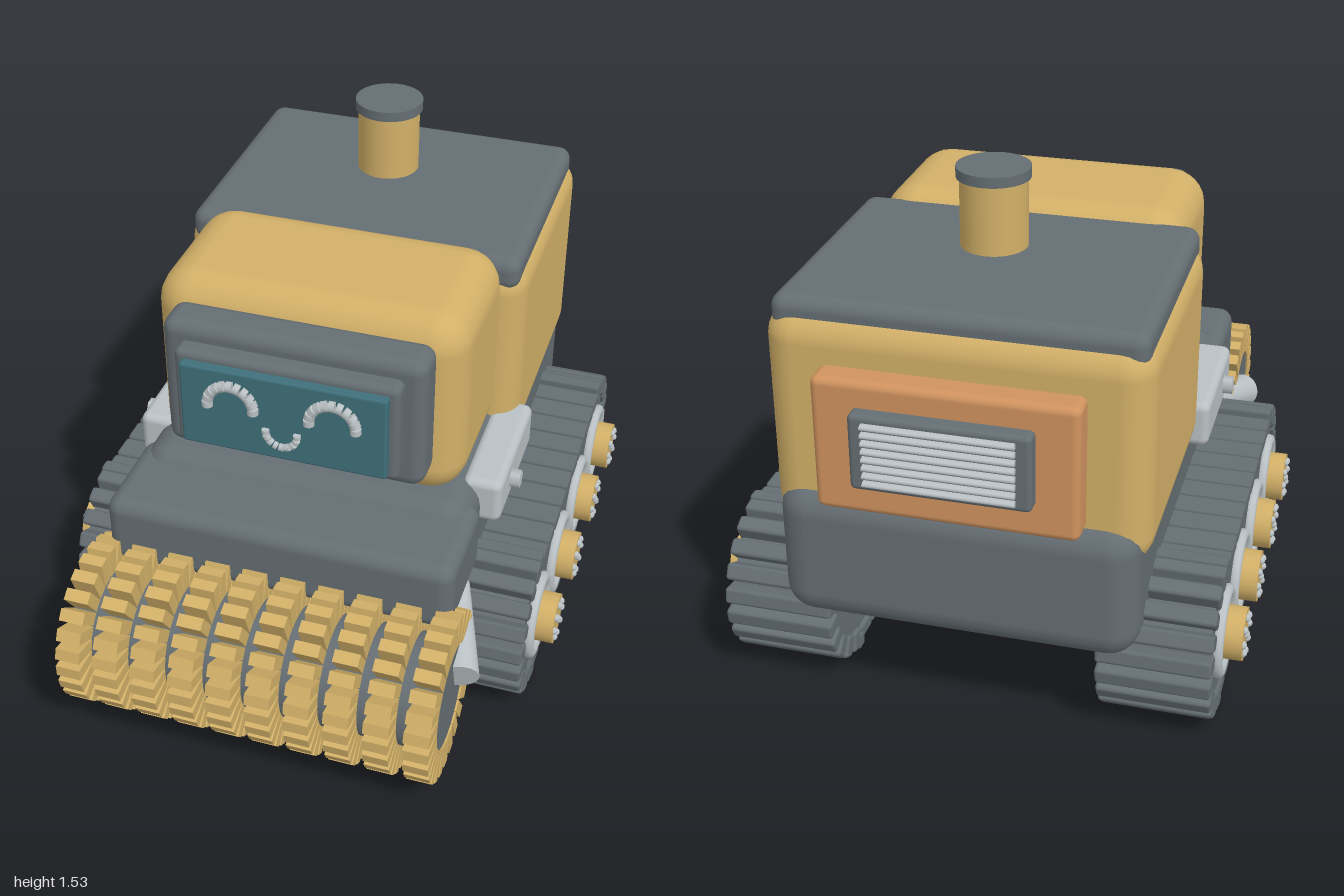
import * as THREE from 'three';
import { mergeGeometries } from 'three/addons/utils/BufferGeometryUtils.js';
import { RoundedBoxGeometry } from 'three/addons/geometries/RoundedBoxGeometry.js';

export function createModel() {
  const root = new THREE.Group();
  root.name = 'trackedRollerVehicle';

  const mat = (name, color) => {
    const m = new THREE.MeshStandardMaterial({ color });
    m.name = name;
    return m;
  };
  const gold = mat('gold paint', 0xd2b068);
  const dark = mat('dark grey', 0x656e73);
  const teal = mat('teal screen', 0x3f6f7a);
  const orange = mat('orange panel', 0xd0935f);
  const light = mat('light grey', 0xbac1c4);

  const add = (name, geometry, material, parent = root) => {
    const m = new THREE.Mesh(geometry, material);
    m.name = name;
    parent.add(m);
    return m;
  };

  // Rounded box given by its limits on each axis
  const block = (name, [x0, x1], [y0, y1], [z0, z1], r, material, parent = root, seg = 3) => {
    const g = new RoundedBoxGeometry(x1 - x0, y1 - y0, z1 - z0, seg, r);
    g.translate((x0 + x1) / 2, (y0 + y1) / 2, (z0 + z1) / 2);
    return add(name, g, material, parent);
  };

  // Cylinder lying along x from x0 to x1
  const axle = (r, x0, x1, y, z, sides = 28) =>
    new THREE.CylinderGeometry(r, r, x1 - x0, sides)
      .rotateZ(-Math.PI / 2)
      .translate((x0 + x1) / 2, y, z);

  // Chassis and nose
  block('chassis', [-0.51, 0.51], [0.3, 0.72], [-0.9, 0.47], 0.09, dark);
  block('noseHood', [-0.525, 0.525], [0.46, 0.685], [0.33, 0.67], 0.045, dark);

  // Cabin, roof and head
  block('rearCabin', [-0.53, 0.53], [0.57, 1.23], [-0.86, -0.04], 0.09, gold);
  block('roof', [-0.51, 0.51], [1.155, 1.262], [-0.83, -0.05], 0.04, dark);
  block('head', [-0.463, 0.463], [0.69, 1.295], [-0.12, 0.39], 0.11, gold);

  // Face display
  block('screenFrame', [-0.385, 0.385], [0.812, 1.235], [0.36, 0.495], 0.04, dark);
  block('screenInnerFrame', [-0.327, 0.327], [0.868, 1.182], [0.47, 0.547], 0.022, dark);
  block('screen', [-0.3, 0.3], [0.892, 1.158], [0.53, 0.574], 0.008, teal);

  // Beaded arcs for the eyes and mouth
  const beadArc = (name, cx, cy, r, a0, a1, count, size) => {
    const beads = [];
    for (let i = 0; i < count; i++) {
      const a = a0 + ((a1 - a0) * i) / (count - 1);
      beads.push(new THREE.CylinderGeometry(size, size, size * 1.1, 12)
        .rotateZ(a)
        .translate(cx + r * Math.cos(a), cy + r * Math.sin(a), 0.581));
    }
    add(name, mergeGeometries(beads), light);
  };
  for (const s of [-1, 1]) {
    beadArc(s > 0 ? 'leftEye' : 'rightEye', s * 0.148, 1.048, 0.067, 0, Math.PI, 11, 0.016);
  }
  beadArc('mouth', 0, 0.988, 0.046, Math.PI, Math.PI * 2, 9, 0.011);

  // Chimney
  add('chimney', new THREE.CylinderGeometry(0.094, 0.094, 0.2, 36).translate(0, 1.405, -0.44), gold);
  add('chimneyCap', new THREE.CylinderGeometry(0.103, 0.103, 0.03, 36).translate(0, 1.517, -0.44), dark);

  // Rear panel with louvred grille
  block('rearPanel', [-0.362, 0.362], [0.702, 1.095], [-0.937, -0.82], 0.022, orange);
  block('grille', [-0.246, 0.246], [0.8, 1.022], [-0.98, -0.92], 0.015, dark);
  const bars = [];
  for (let i = 0; i < 8; i++) {
    bars.push(new THREE.CylinderGeometry(0.008, 0.008, 0.41, 10)
      .scale(1, 1, 2.2)
      .rotateZ(Math.PI / 2)
      .translate(0, 0.828 + i * 0.024, -0.982));
  }
  add('grilleBars', mergeGeometries(bars), light);

  // Front roller with rings of teeth
  const rollerY = 0.305, rollerZ = 0.75, toothCount = 26;
  const roller = new THREE.Group();
  roller.name = 'roller';
  roller.position.set(0, rollerY, rollerZ);
  root.add(roller);
  add('rollerDrum', axle(0.165, -0.55, 0.55, 0, 0, 40), dark, roller);
  const teeth = [];
  for (let ring = 0; ring < 10; ring++) {
    for (let i = 0; i < toothCount; i++) {
      teeth.push(new THREE.BoxGeometry(0.074, 0.095, 0.036)
        .translate((ring - 4.5) * 0.1153, 0.2025, 0)
        .rotateX(((i + 0.5) / toothCount) * Math.PI * 2));
    }
  }
  add('rollerTeeth', mergeGeometries(teeth), gold, roller);

  // Stadium outline of a track, drawn in (z, y) around the track centre
  const half = 0.45, midZ = -0.152, midY = 0.25;
  const stadium = (r) => {
    const s = new THREE.Shape();
    s.absarc(half, 0, r, -Math.PI / 2, Math.PI / 2, false);
    s.absarc(-half, 0, r, Math.PI / 2, Math.PI * 1.5, false);
    s.closePath();
    return s;
  };

  const buildTrack = (side) => {
    const track = new THREE.Group();
    track.name = side > 0 ? 'leftTrack' : 'rightTrack';
    root.add(track);
    const spanX = (a, b) => (side > 0 ? [a, b] : [-b, -a]);
    const mid = side * 0.548;

    // Solid core
    const core = new THREE.ExtrudeGeometry(stadium(0.195), { depth: 0.3, bevelEnabled: false, curveSegments: 16 });
    core.translate(0, 0, -0.15).rotateY(-Math.PI / 2).translate(mid, midY, midZ);
    add('trackCore', core, dark, track);

    // Pads along the flats and around both ends
    const pads = [];
    const pad = (len, thick, y, z, angle, pivotZ) => pads.push(
      new RoundedBoxGeometry(0.325, thick, len, 1, 0.01)
        .translate(0, y, z).rotateX(angle).translate(mid, midY, midZ + pivotZ));
    for (let i = 0; i < 10; i++) {
      const z = -half + (i + 0.5) * (half * 2 / 10);
      pad(0.083, 0.045, 0.2025, z, 0, 0);
      pad(0.083, 0.045, -0.2025, z, 0, 0);
    }
    for (let i = 1; i < 11; i++) {
      const a = ((i - 0.5) / 10) * Math.PI;
      pad(0.05, 0.068, 0.206, 0, a, half);
      pad(0.05, 0.068, 0.206, 0, -a, -half);
    }
    for (const z of [-half, half]) {
      pad(0.045, 0.05, 0.225, z, 0, 0);
      pad(0.045, 0.05, -0.225, z, 0, 0);
    }
    add('trackPads', mergeGeometries(pads), dark, track);

    // Wheels: rim, hub and bolts
    for (let w = 0; w < 4; w++) {
      const z = 0.298 - w * 0.298, y = 0.257;
      const wheel = new THREE.Group();
      wheel.name = 'wheel' + (w + 1);
      wheel.position.set(0, y, z);
      track.add(wheel);
      add('wheelDisc', axle(0.115, ...spanX(0.38, 0.706), 0, 0, 32), dark, wheel);
      add('wheelRim', new THREE.TorusGeometry(0.117, 0.018, 10, 36)
        .rotateY(Math.PI / 2).translate(side * 0.706, 0, 0), light, wheel);
      add('wheelHub', axle(0.077, ...spanX(0.69, 0.77), 0, 0), gold, wheel);
      const bolts = [new THREE.SphereGeometry(0.013, 10, 8).translate(side * 0.77, 0, 0)];
      for (let i = 0; i < 8; i++) {
        const a = (i / 8) * Math.PI * 2;
        bolts.push(new THREE.SphereGeometry(0.012, 10, 8)
          .translate(side * 0.77, Math.cos(a) * 0.055, Math.sin(a) * 0.055));
      }
      add('hubBolts', mergeGeometries(bolts), light, wheel);
    }

    // Side plate with hex bolt
    block('sidePlate', spanX(0.45, 0.57), [0.575, 0.72], [-0.135, 0.295], 0.025, light, track);
    add('sidePlateBolt', axle(0.028, ...spanX(0.56, 0.6), 0.648, 0.155, 6), light, track);

    // Tapered arm holding the roller
    const from = new THREE.Vector3(side * 0.49, 0.44, 0.42);
    const to = new THREE.Vector3(side * 0.565, 0.345, 0.705);
    const dir = to.clone().sub(from);
    const arm = add('rollerArm', new THREE.CylinderGeometry(0.058, 0.028, dir.length(), 20), light, track);
    arm.position.copy(from).add(to).multiplyScalar(0.5);
    arm.quaternion.setFromUnitVectors(new THREE.Vector3(0, 1, 0), dir.normalize());
  };
  buildTrack(1);
  buildTrack(-1);

  return root;
}
